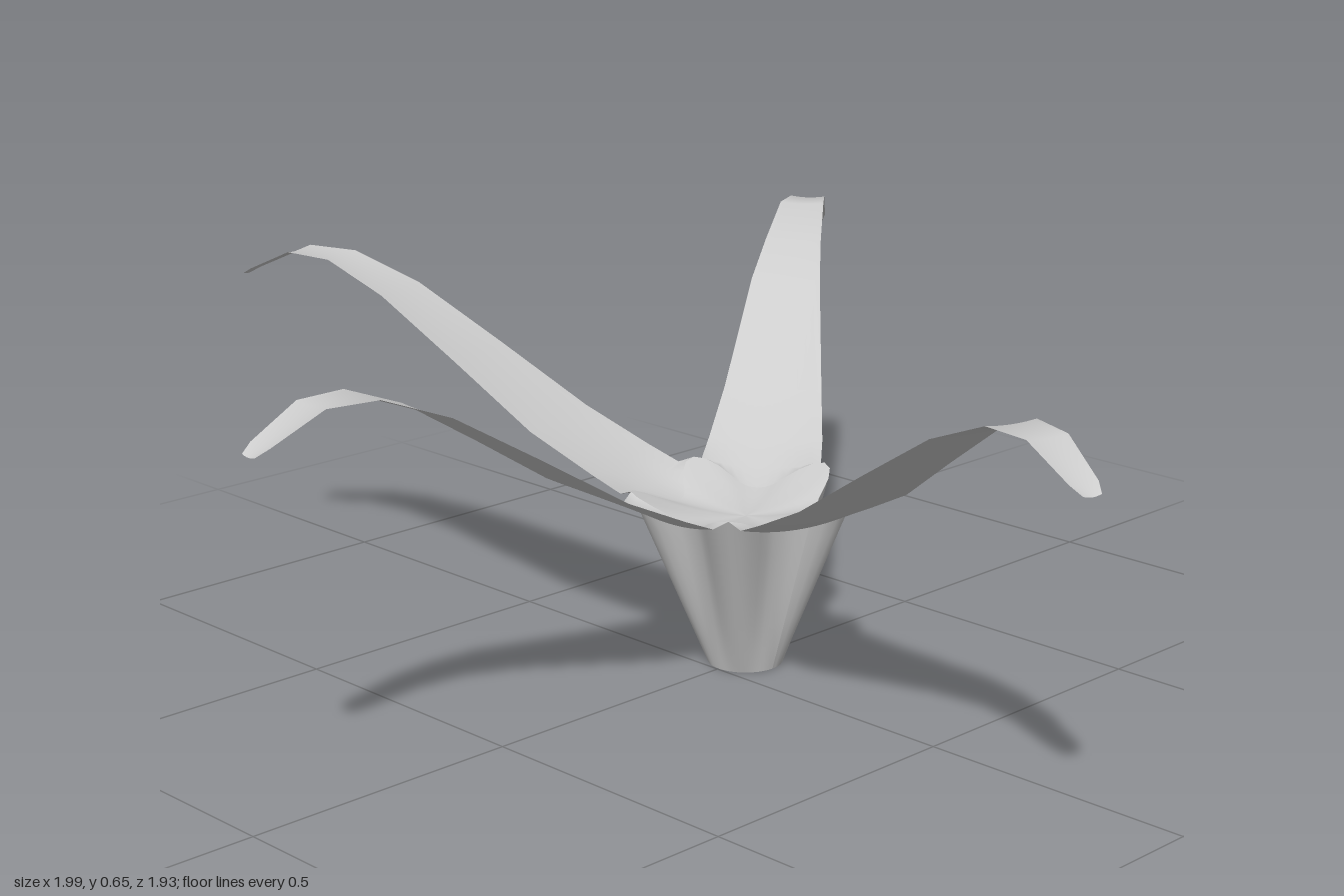
import * as THREE from 'three';

const TAU = Math.PI * 2, STEP = TAU / 5;
const material = new THREE.MeshStandardMaterial({ color: 0xcccccc, side: THREE.DoubleSide });

// Smooth surface through rows of points, all rows the same length
function sheet(name, rows) {
  const n = rows[0].length, index = [];
  for (let i = 0; i < rows.length - 1; i++) {
    for (let j = 0; j < n - 1; j++) {
      const a = i * n + j, b = a + n;
      index.push(a, a + 1, b, a + 1, b + 1, b);
    }
  }
  const geometry = new THREE.BufferGeometry();
  geometry.setAttribute('position', new THREE.Float32BufferAttribute(rows.flat(2), 3));
  geometry.setIndex(index);
  geometry.computeVertexNormals();
  const mesh = new THREE.Mesh(geometry, material);
  mesh.name = name;
  return mesh;
}

// Five-cornered rim: low and narrow below each petal, raised to a point between them
function rim(angle) {
  const s = Math.pow((1 - Math.cos(5 * (angle - Math.PI / 2))) / 2, 1.5);
  const r = 0.13 + 0.072 * s;
  return [r * Math.cos(angle), 0.28 + 0.042 * s, r * Math.sin(angle)];
}

// One row of points around the whole cup
const ring = (f) => Array.from({ length: 61 }, (_, i) => f((i / 60) * TAU));

// Petal outline rows: distance from centre, half width, height, sideways drift
const PETAL = [
  [0.19, 0.109, 0.312, 0], [0.25, 0.106, 0.338, 0], [0.375, 0.1, 0.397, 0],
  [0.54, 0.081, 0.5, 0], [0.705, 0.062, 0.6, 0], [0.83, 0.045, 0.65, 0],
  [0.925, 0.036, 0.653, 0], [1.02, 0.025, 0.61, 0], [1.042, 0.016, 0.598, 0],
];
const BACK_PETAL = [
  [0.19, 0.109, 0.312, 0], [0.25, 0.104, 0.338, 0], [0.38, 0.091, 0.397, 0.005],
  [0.62, 0.066, 0.55, 0.014], [0.73, 0.054, 0.605, 0.014], [0.86, 0.043, 0.652, 0.014],
  [0.96, 0.034, 0.645, 0.015], [1.07, 0.024, 0.585, 0.016], [1.095, 0.015, 0.565, 0.016],
];

function petal(name, angle, outline) {
  const across = Array.from({ length: 13 }, (_, j) => j / 6 - 1);
  const c = Math.cos(angle), s = Math.sin(angle);
  const rows = [across.map((t) => rim(angle + (t * STEP) / 2))];
  outline.forEach(([r, half, y, drift], i) => {
    const dish = i < 2 ? 0.014 - 0.006 * i : 0.003;
    rows.push(across.map((t) => {
      const w = t * half - drift;
      return [c * r - s * w, y - dish * (1 - t * t), s * r + c * w];
    }));
  });
  return sheet(name, rows);
}

export function createModel() {
  const model = new THREE.Group();
  model.name = 'openPeel';
  const body = new THREE.Group();
  body.name = 'body';
  body.position.z = -0.07;
  model.add(body);

  // Tapered cup, round at the foot and five-cornered at the rim
  const foot = (a) => [0.067 * Math.cos(a), 0, 0.067 * Math.sin(a)];
  const wall = [];
  for (let k = 0; k <= 6; k++) {
    wall.push(ring((a) => {
      const p = rim(a), q = foot(a);
      return p.map((v, i) => v + (q[i] - v) * (k / 6));
    }));
  }
  body.add(sheet('cup', wall));
  body.add(sheet('cupBase', [ring(foot), ring(() => [0, 0, 0])]));

  // Shallow inner floor rising to the rim corners
  const floor = [0, 0.25, 0.5, 0.75, 1].map((k) => ring((a) => {
    const [x, y, z] = rim(a);
    return [x * k, 0.268 + (y - 0.268) * k * k, z * k];
  }));
  body.add(sheet('innerFloor', floor));

  // Four drooping petals; the fifth place is empty
  body.add(petal('leftPetal', Math.PI / 2 - STEP, PETAL));
  body.add(petal('frontPetal', Math.PI / 2, PETAL));
  body.add(petal('rightPetal', Math.PI / 2 + STEP, PETAL));
  body.add(petal('backPetal', Math.PI / 2 + 2 * STEP, BACK_PETAL));
  return model;
}
